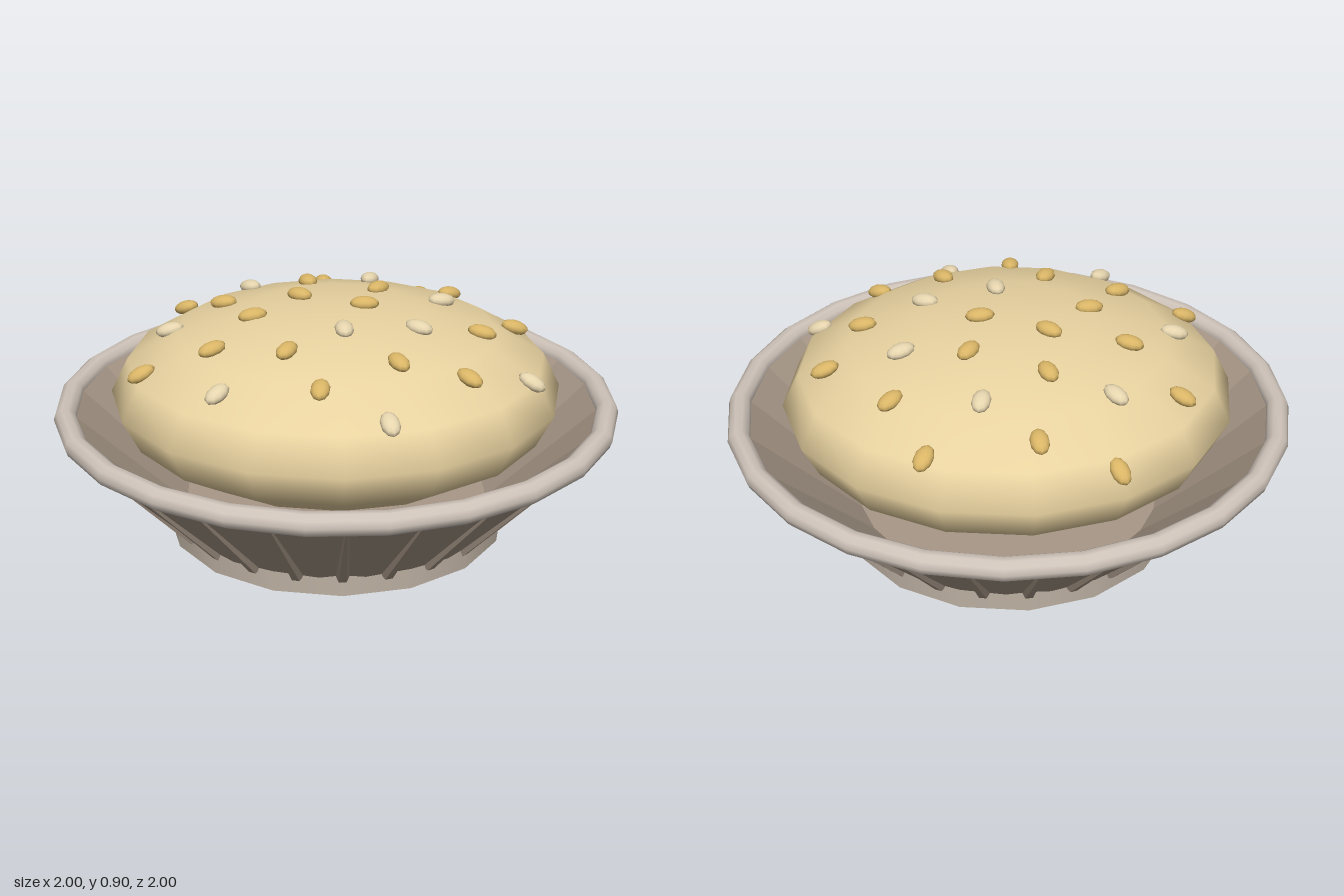
import * as THREE from 'three';

const mat = (color, flatShading = false) => new THREE.MeshStandardMaterial({ color, flatShading });

export function createModel() {
  const model = new THREE.Group();
  const clay = mat(0xa89888, true);
  const paleClay = mat(0xcfc4ba);
  const add = (name, geometry, material, parent = model) => {
    const mesh = new THREE.Mesh(geometry, material);
    mesh.name = name;
    parent.add(mesh);
    return mesh;
  };

  // Foot and collar under the bowl
  add('foot', new THREE.CylinderGeometry(0.505, 0.505, 0.06, 16), clay).position.y = 0.03;
  add('collar', new THREE.CylinderGeometry(0.615, 0.615, 0.075, 16), mat(0xbdb0a2)).position.y = 0.0875;

  // Flared bowl wall with thickness and inner floor, 24 flat sides
  const offset = Math.PI / 24;
  const profile = [[0.6, 0.11], [0.975, 0.49], [0.93, 0.51], [0.55, 0.15], [0, 0.15]]
    .map(([r, y]) => new THREE.Vector2(r, y));
  add('bowlWall', new THREE.LatheGeometry(profile, 24, offset), clay);

  // Rounded rim
  const rim = new THREE.TorusGeometry(0.968, 0.0405, 10, 24);
  rim.rotateX(Math.PI / 2).rotateY(offset);
  add('rim', rim, paleClay).position.y = 0.505;

  // Thin ribs running up the outside of the wall
  const ribs = new THREE.Group();
  ribs.name = 'ribs';
  model.add(ribs);
  const low = new THREE.Vector3(0.595, 0.115, 0);
  const high = new THREE.Vector3(0.95, 0.475, 0);
  const along = high.clone().sub(low);
  const ribShape = new THREE.CylinderGeometry(0.008, 0.026, along.length(), 6);
  ribShape.applyQuaternion(new THREE.Quaternion().setFromUnitVectors(
    new THREE.Vector3(0, 1, 0), along.clone().normalize()));
  ribShape.translate(...low.clone().add(high).multiplyScalar(0.5).toArray());
  for (let i = 0; i < 24; i++) add('rib', ribShape, clay, ribs).rotation.y = i * Math.PI / 12;

  // Domed bread resting in the bowl
  const size = new THREE.Vector3(0.805, 0.318, 0.765);
  const centreY = 0.56;
  const bread = new THREE.SphereGeometry(1, 16, 8).scale(size.x, size.y, size.z);
  add('bread', bread, mat(0xe8d2a0)).position.y = centreY;

  // Seeds scattered in a golden-angle spiral, pointing outward
  const seeds = new THREE.Group();
  seeds.name = 'seeds';
  model.add(seeds);
  const seedShape = new THREE.SphereGeometry(1, 10, 8).scale(0.052, 0.025, 0.033);
  const gold = mat(0xd9b566), cream = mat(0xe6d5ae);
  for (let i = 0; i < 28; i++) {
    const angle = i * Math.PI * (3 - Math.sqrt(5));
    const r = 0.141 * Math.sqrt(i + 0.5);
    const x = r * Math.cos(angle), z = -r * Math.sin(angle);
    const h = Math.sqrt(1 - (x / size.x) ** 2 - (z / size.z) ** 2);
    const slope = Math.atan2(r * size.y, h * 0.61);
    const seed = add('seed', seedShape, i % 3 === 2 ? cream : gold, seeds);
    seed.position.set(x, centreY + size.y * h + 0.004, z);
    seed.rotation.set(0, angle, -slope * 0.6);
  }
  return model;
}
